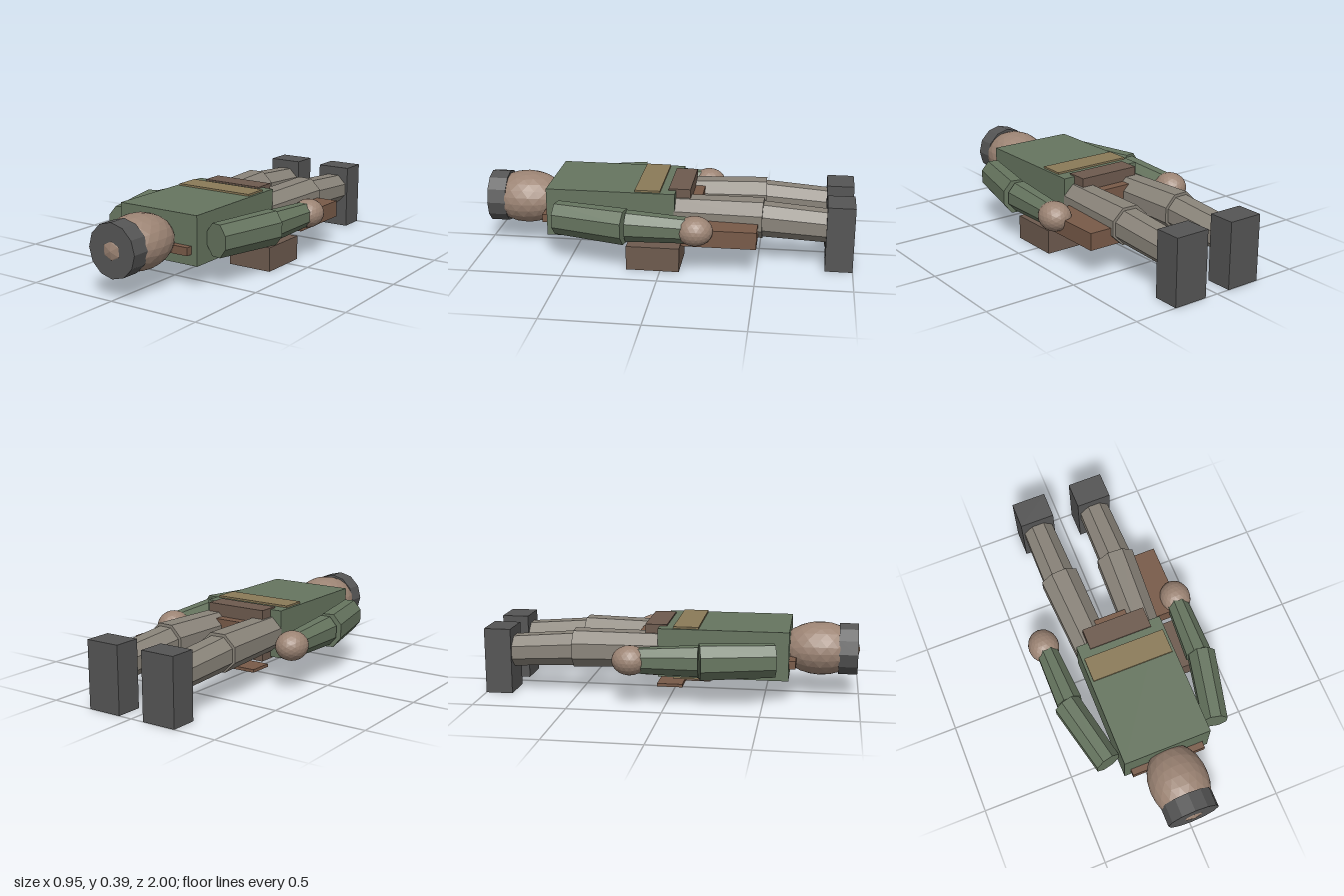
import * as THREE from 'three';

const mat = (color) => new THREE.MeshStandardMaterial({ color, flatShading: true });

export function createModel() {
  const root = new THREE.Group();
  const green = mat(0x66755f), grey = mat(0x8a847a), dark = mat(0x555555);
  const brown = mat(0x6d5a4e), leather = mat(0x785a48), skin = mat(0x9c8474), tan = mat(0x8a7a58);

  const add = (name, geometry, material) => {
    const mesh = new THREE.Mesh(geometry, material);
    mesh.name = name;
    root.add(mesh);
    return mesh;
  };

  // Box given by its minimum and maximum on each axis
  const box = (name, [x0, x1], [y0, y1], [z0, z1], material) => {
    const mesh = add(name, new THREE.BoxGeometry(x1 - x0, y1 - y0, z1 - z0), material);
    mesh.position.set((x0 + x1) / 2, (y0 + y1) / 2, (z0 + z1) / 2);
  };

  // Faceted ellipsoid
  const ball = (name, centre, radii, detail, material) => {
    const geo = new THREE.IcosahedronGeometry(1, detail).scale(...radii);
    add(name, geo, material).position.set(...centre);
  };

  // Tapered eight-sided limb from a to b; halfWidth and halfHeight are measured to the flats
  const limb = (name, a, b, r0, r1, heightRatio, material) => {
    const from = new THREE.Vector3(...a), to = new THREE.Vector3(...b);
    const k = 1 / Math.cos(Math.PI / 8);
    const geo = new THREE.CylinderGeometry(r1 * k, r0 * k, from.distanceTo(to), 8)
      .rotateY(Math.PI / 8)
      .scale(1, 1, heightRatio)
      .rotateX(Math.PI / 2);
    const mesh = add(name, geo, material);
    mesh.position.copy(from).lerp(to, 0.5);
    mesh.lookAt(to);
  };

  // Trunk
  box('torso', [-0.24, 0.24], [0.12, 0.38], [-0.06, 0.63], green);
  box('waistBand', [-0.225, 0.225], [0.108, 0.39], [0.02, 0.155], tan);
  box('pelvis', [-0.175, 0.175], [0.11, 0.388], [-0.137, -0.02], brown);
  box('crotch', [-0.1, 0.1], [0.18, 0.32], [-0.19, -0.1], leather);
  box('collar', [-0.205, 0.205], [0.177, 0.22], [0.58, 0.665], leather);

  // Head and cap
  ball('head', [0, 0.248, 0.79], [0.16, 0.143, 0.21], 3, skin);
  const cap = add('cap', new THREE.CylinderGeometry(0.141, 0.141, 0.1, 12).rotateX(Math.PI / 2), dark);
  cap.position.set(0, 0.248, 0.938);

  // Carried gear
  box('bag', [0.127, 0.375], [0, 0.13], [-0.1, 0.18], brown);
  box('holster', [0.17, 0.392], [0.155, 0.247], [-0.5, -0.11], leather);
  box('backPlate', [-0.085, 0.085], [0.02, 0.037], [-0.09, 0.05], leather);

  // Arms and legs
  for (const [side, s] of [['left', 1], ['right', -1]]) {
    limb(side + 'UpperArm', [s * 0.305, 0.248, 0.56], [s * 0.39, 0.246, 0.18], 0.067, 0.072, 1.26, green);
    limb(side + 'Forearm', [s * 0.375, 0.247, 0.175], [s * 0.385, 0.242, -0.14], 0.068, 0.056, 1.15, green);
    ball(side + 'Hand', [s * 0.39, 0.242, -0.183], [0.084, 0.078, 0.094], 3, skin);
    limb(side + 'Thigh', [s * 0.147, 0.248, -0.06], [s * 0.167, 0.248, -0.525], 0.095, 0.103, 0.96, grey);
    limb(side + 'Shin', [s * 0.168, 0.245, -0.5], [s * 0.17, 0.222, -0.87], 0.088, 0.082, 1, grey);
    box(side + 'Boot', s > 0 ? [0.075, 0.265] : [-0.265, -0.075], [0, 0.355], [-1, -0.855], dark);
  }
  return root;
}
